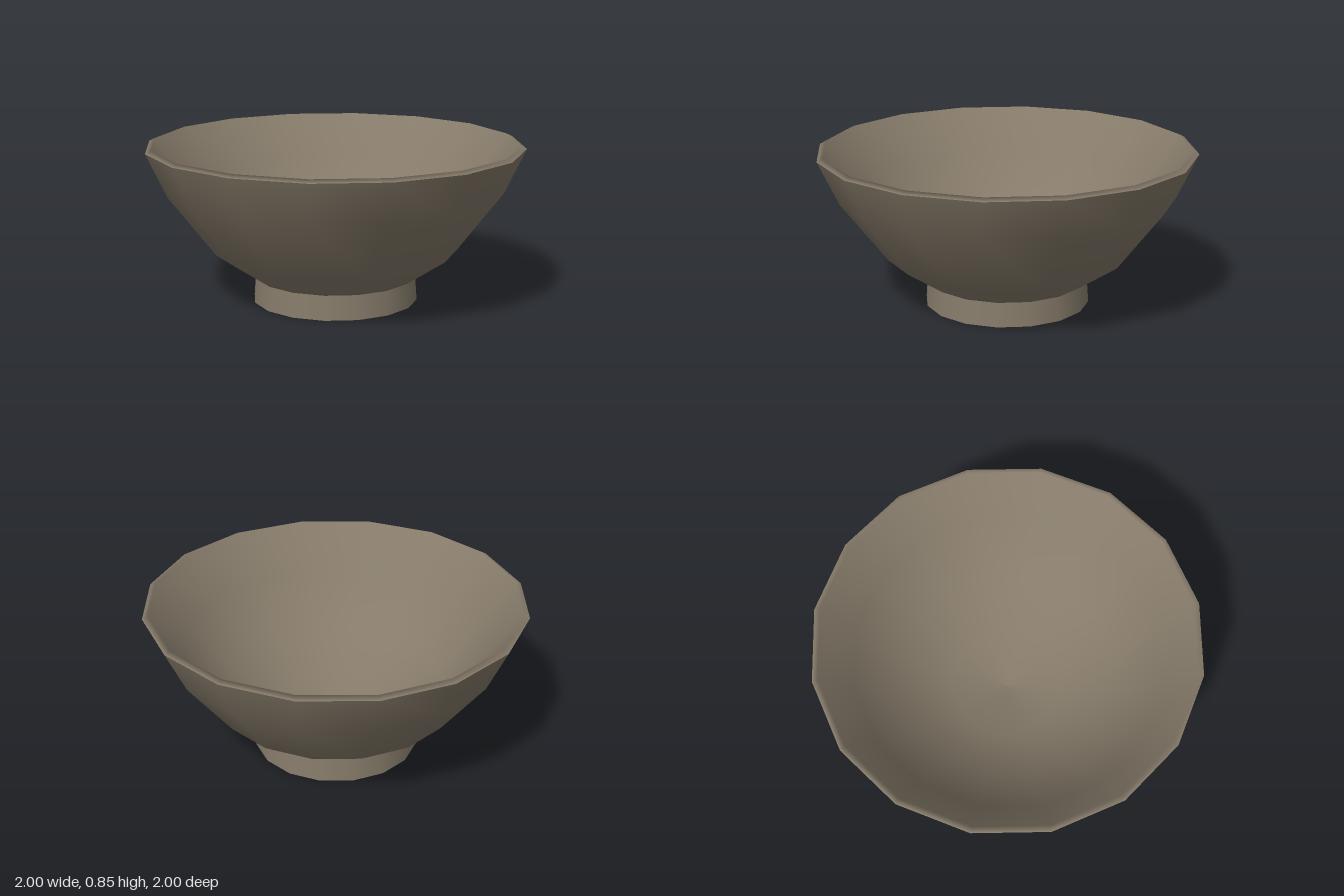
import * as THREE from 'three';

const SIDES = 16;

export function createModel() {
  const clay = new THREE.MeshStandardMaterial({ color: 0x867b6a });
  clay.name = 'brown clay';
  const bare = new THREE.MeshStandardMaterial({ color: 0xc6cbce });
  bare.name = 'bare grey base';

  const bowl = new THREE.Group();
  bowl.name = 'bowl';

  // Each part is its own lathe, so edges between parts stay sharp
  const turn = (name, profile, material) => {
    const points = profile.map(([r, y]) => new THREE.Vector2(r, y));
    const mesh = new THREE.Mesh(new THREE.LatheGeometry(points, SIDES), material);
    mesh.name = name;
    bowl.add(mesh);
  };

  // Profiles run from the underside, up the outside, and down the inside
  turn('footHollow', [[0, 0.13], [0.34, 0.13], [0.375, 0.1], [0.39, 0]], clay);
  turn('footBase', [[0.39, 0], [0.44, 0]], bare);
  turn('footWall', [[0.44, 0], [0.43, 0.13]], clay);
  turn('outerWall', [[0.43, 0.13], [0.645, 0.275], [0.89, 0.595], [1, 0.83]], clay);

  // The rim rolls smoothly into the rounded inside
  turn('rimAndInnerWall', [
    [1, 0.83], [0.97, 0.845], [0.81, 0.62], [0.58, 0.36], [0.3, 0.21], [0, 0.16],
  ], clay);

  return bowl;
}
